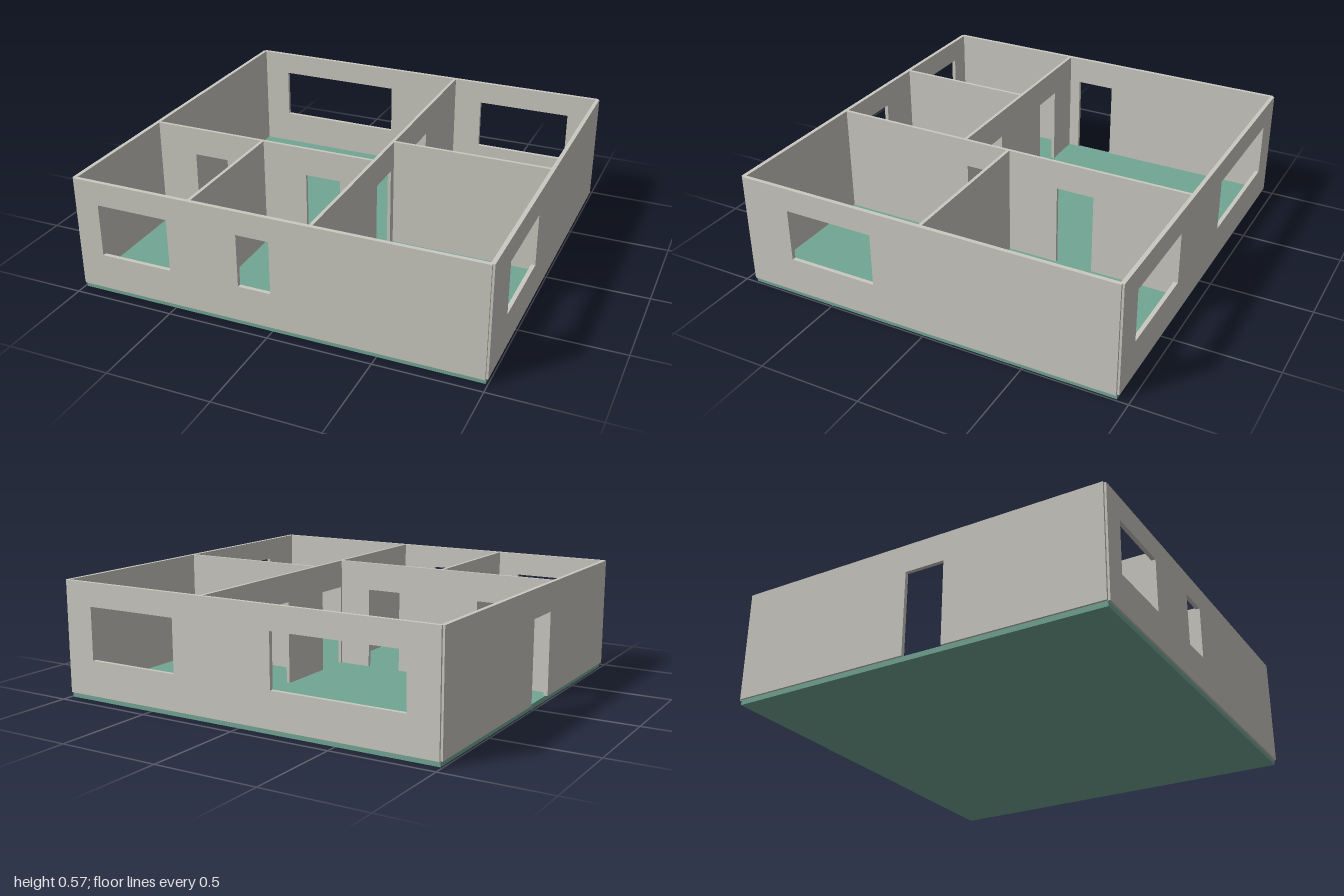
import * as THREE from 'three';

const FLOOR = 0.025, TOP = 0.575;
const wallMaterial = new THREE.MeshStandardMaterial({ color: 0xc9c8c0 });
const floorMaterial = new THREE.MeshStandardMaterial({ color: 0x72a594 });

// Openings: [start, end] along the wall
const windowAt = (a, b) => ({ a, b, y0: 0.2, y1: 0.46 });
const doorAt = (a, b) => ({ a, b, y0: FLOOR, y1: 0.435 });

// A wall along x (at z = pos) or along z (at x = pos); doors notch the
// outline from below, windows are holes. Openings go in rising order.
function wall(name, along, pos, from, to, thickness, openings = []) {
  const shape = new THREE.Shape();
  shape.moveTo(from, FLOOR);
  for (const o of openings) {
    if (o.y0 === FLOOR) {
      shape.lineTo(o.a, FLOOR);
      shape.lineTo(o.a, o.y1);
      shape.lineTo(o.b, o.y1);
      shape.lineTo(o.b, FLOOR);
    } else {
      const hole = new THREE.Path();
      hole.moveTo(o.a, o.y0);
      hole.lineTo(o.a, o.y1);
      hole.lineTo(o.b, o.y1);
      hole.lineTo(o.b, o.y0);
      hole.closePath();
      shape.holes.push(hole);
    }
  }
  shape.lineTo(to, FLOOR);
  shape.lineTo(to, TOP);
  shape.lineTo(from, TOP);
  shape.closePath();

  const geometry = new THREE.ExtrudeGeometry(shape, { depth: thickness, bevelEnabled: false });
  geometry.translate(0, 0, -thickness / 2);
  if (along === 'z') {
    geometry.rotateY(-Math.PI / 2);
    geometry.translate(pos, 0, 0);
  } else {
    geometry.translate(0, 0, pos);
  }
  const mesh = new THREE.Mesh(geometry, wallMaterial);
  mesh.name = name;
  return mesh;
}

export function createModel() {
  const house = new THREE.Group();
  house.name = 'floorPlan';

  // Wall centre lines and thicknesses
  const X = 0.99, Z = 0.943, outer = 0.02, inner = 0.016;
  const spineX = 0.194, rightZ = -0.006, leftZ = 0.235, smallX = -0.395;

  // Floor slab
  const floor = new THREE.Mesh(new THREE.BoxGeometry(2 * X, FLOOR, 2 * Z), floorMaterial);
  floor.position.y = FLOOR / 2;
  floor.name = 'floor';
  house.add(floor);

  // Outer walls, meeting at their centre lines
  house.add(
    wall('frontWall', 'x', Z, -X, X, outer, [windowAt(-0.87, -0.51), windowAt(-0.16, 0)]),
    wall('backWall', 'x', -Z, -X, X, outer, [windowAt(-0.84, -0.18), windowAt(0.35, 0.84)]),
    wall('leftWall', 'z', X, -Z, Z, outer, [windowAt(0.25, 0.7)]),
    wall('rightWall', 'z', -X, -Z, Z, outer, [doorAt(-0.03, 0.17)])
  );

  // Inner walls dividing the rooms
  house.add(
    wall('spineWall', 'z', spineX, -Z, Z, inner, [doorAt(-0.46, -0.27), doorAt(0.04, 0.22)]),
    wall('bedroomDivider', 'x', rightZ, spineX, X, inner),
    wall('livingRoomDivider', 'x', leftZ, -X, spineX, inner, [doorAt(-0.775, -0.595), doorAt(-0.16, 0.02)]),
    wall('smallRoomDivider', 'z', smallX, leftZ, Z, inner)
  );
  return house;
}
